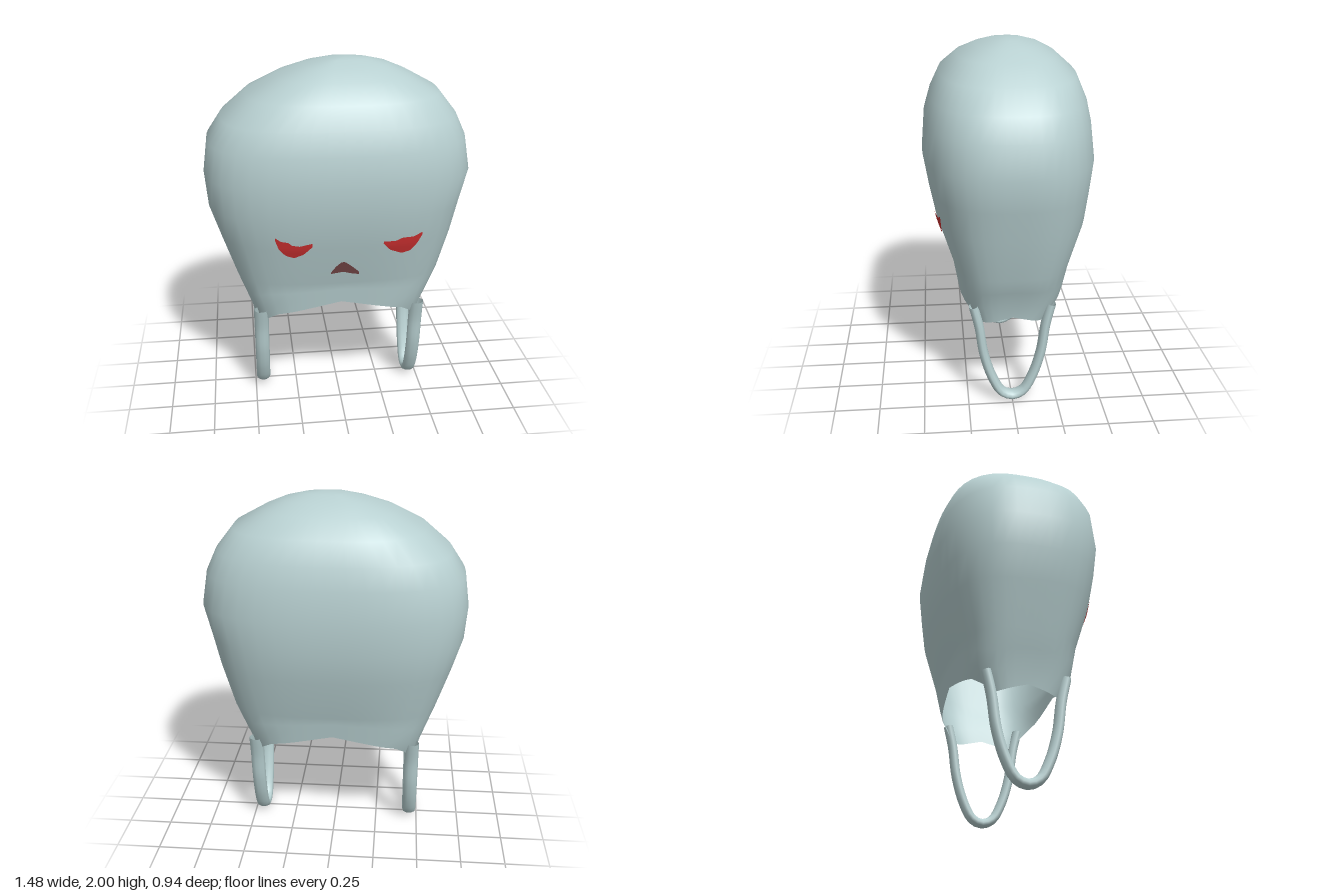
import * as THREE from 'three';

const material = (name, color, side = THREE.DoubleSide) => {
  const m = new THREE.MeshStandardMaterial({ color, side });
  m.name = name;
  return m;
};

// Cross-sections of the hood: y, reach to -x, +x, +z, -z, squareness
const SECTIONS = [
  [0.48, 0.475, 0.475, 0.23, 0.23, 4],
  [0.6, 0.505, 0.5, 0.285, 0.295, 4],
  [0.8, 0.58, 0.585, 0.32, 0.335, 3.6],
  [1.05, 0.665, 0.655, 0.405, 0.42, 3.1],
  [1.22, 0.72, 0.695, 0.44, 0.445, 2.9],
  [1.4, 0.735, 0.74, 0.47, 0.465, 2.8],
  [1.58, 0.71, 0.71, 0.455, 0.445, 2.8],
  [1.7, 0.63, 0.655, 0.42, 0.42, 2.8],
  [1.82, 0.49, 0.56, 0.365, 0.37, 2.8],
  [1.91, 0.32, 0.4, 0.27, 0.27, 2.6],
  [1.96, 0.18, 0.29, 0.17, 0.18, 2.4],
  [1.99, 0.05, 0.18, 0.08, 0.08, 2.2],
];
const SEGMENTS = 48;

function section(y) {
  let k = 0;
  while (k < SECTIONS.length - 2 && y > SECTIONS[k + 1][0]) k++;
  const a = SECTIONS[k], b = SECTIONS[k + 1];
  const t = (y - a[0]) / (b[0] - a[0]);
  return a.map((v, i) => v + (b[i] - v) * t);
}

// Unit rounded-square outline at an angle
function outline(angle, n) {
  const c = Math.cos(angle), s = Math.sin(angle);
  const r = (Math.abs(c) ** n + Math.abs(s) ** n) ** (-1 / n);
  return [c * r, s * r];
}

function hoodPoint(angle, y) {
  const [, left, right, front, back, n] = section(y);
  const [u, w] = outline(angle, n);
  return [u * (u < 0 ? left : right), y, w * (w < 0 ? back : front)];
}

// Lower edge: arched at front and back, dipping at the corners
function rimHeight(angle) {
  const [u, w] = outline(angle, 4).map(Math.abs);
  if (u < 0.78) return 0.67 - 0.09 * (u / 0.78);
  if (w < 0.7) return 0.535 - 0.045 * (w / 0.7);
  return 0.58 - 0.09 * ((u - 0.78) / 0.154);
}

function hoodGeometry() {
  const positions = [], index = [];
  const upper = SECTIONS.map((s) => s[0]).filter((y) => y > 0.81);
  const rings = 4 + upper.length;
  for (let j = 0; j < rings; j++) {
    for (let i = 0; i < SEGMENTS; i++) {
      const angle = (i / SEGMENTS) * Math.PI * 2;
      const rim = rimHeight(angle);
      const y = j < 4 ? rim + (0.8 - rim) * (j / 3) : upper[j - 4];
      positions.push(...hoodPoint(angle, y));
    }
  }
  const apex = rings * SEGMENTS;
  positions.push(0.06, 2, 0);
  for (let j = 0; j < rings; j++) {
    for (let i = 0; i < SEGMENTS; i++) {
      const a = j * SEGMENTS + i, b = j * SEGMENTS + ((i + 1) % SEGMENTS);
      if (j === rings - 1) index.push(a, apex, b);
      else index.push(a, a + SEGMENTS, b, b, a + SEGMENTS, b + SEGMENTS);
    }
  }
  const g = new THREE.BufferGeometry();
  g.setAttribute('position', new THREE.Float32BufferAttribute(positions, 3));
  g.setIndex(index);
  g.computeVertexNormals();
  return g;
}

function frontZ(x, y) {
  const [, left, right, front, , n] = section(y);
  return front * (1 - Math.abs(x / (x < 0 ? left : right)) ** n) ** (1 / n);
}

function sample(line, x) {
  let k = 0;
  while (k < line.length - 2 && x > line[k + 1][0]) k++;
  const [a, b] = [line[k], line[k + 1]];
  return a[1] + ((b[1] - a[1]) * (x - a[0])) / (b[0] - a[0]);
}

// Thin patch between an upper and a lower line, wrapped onto the hood front
function patchGeometry(top, bottom, offset) {
  const g = new THREE.PlaneGeometry(1, 1, 20, 5);
  const p = g.attributes.position;
  const x0 = top[0][0], x1 = top[top.length - 1][0];
  for (let i = 0; i < p.count; i++) {
    const x = x0 + (x1 - x0) * (p.getX(i) + 0.5);
    const lo = sample(bottom, x), hi = sample(top, x);
    const y = lo + (hi - lo) * (p.getY(i) + 0.5);
    p.setXYZ(i, x, y, frontZ(x, y) + offset);
  }
  g.computeVertexNormals();
  return g;
}

export function createModel() {
  const model = new THREE.Group();
  const cloth = material('pale grey blue', 0xb8d0d1);
  const red = material('red', 0xcc3030);
  const maroon = material('dull maroon', 0x7a4a4a);

  const add = (name, geometry, mat) => {
    const mesh = new THREE.Mesh(geometry, mat);
    mesh.name = name;
    model.add(mesh);
    return mesh;
  };

  add('hood', hoodGeometry(), cloth);

  // Strap loops hanging from each side
  const half = [[0.215, 0.6], [0.185, 0.47], [0.16, 0.3], [0.115, 0.15], [0.06, 0.052]];
  const path = [...half, [0, 0.027], ...half.map(([z, y]) => [-z, y]).reverse()];
  const curve = new THREE.CatmullRomCurve3(path.map(([z, y]) => new THREE.Vector3(0, y, z)));
  const strapGeometry = new THREE.TubeGeometry(curve, 40, 0.027, 10, false);
  for (const side of [-1, 1]) {
    const strap = add(side < 0 ? 'rightStrap' : 'leftStrap', strapGeometry, cloth);
    strap.scale.x = 1.5;
    strap.position.x = side * 0.453;
  }

  // Face details, showing on the outside and the inside of the hood
  const details = [
    ['rightEye', red,
      [[-0.37, 1.13], [-0.34, 1.107], [-0.3, 1.1], [-0.28, 1.082], [-0.24, 1.075], [-0.172, 1.092]],
      [[-0.37, 1.115], [-0.35, 1.055], [-0.315, 1.015], [-0.27, 0.998], [-0.22, 1.02], [-0.172, 1.07]]],
    ['leftEye', red,
      [[0.213, 1.082], [0.28, 1.08], [0.32, 1.097], [0.38, 1.095], [0.43, 1.117]],
      [[0.213, 1.07], [0.25, 1.025], [0.32, 0.993], [0.37, 1.005], [0.405, 1.05], [0.43, 1.1]]],
    ['mouth', maroon,
      [[-0.065, 0.885], [-0.04, 0.925], [-0.01, 0.955], [0.01, 0.955], [0.05, 0.92], [0.09, 0.88]],
      [[-0.065, 0.873], [0, 0.885], [0.05, 0.87], [0.09, 0.862]]],
  ];
  for (const [name, mat, top, bottom] of details) {
    add(name, patchGeometry(top, bottom, 0.005), mat);
    add(name + 'Inside', patchGeometry(top, bottom, -0.005), mat);
  }
  return model;
}
